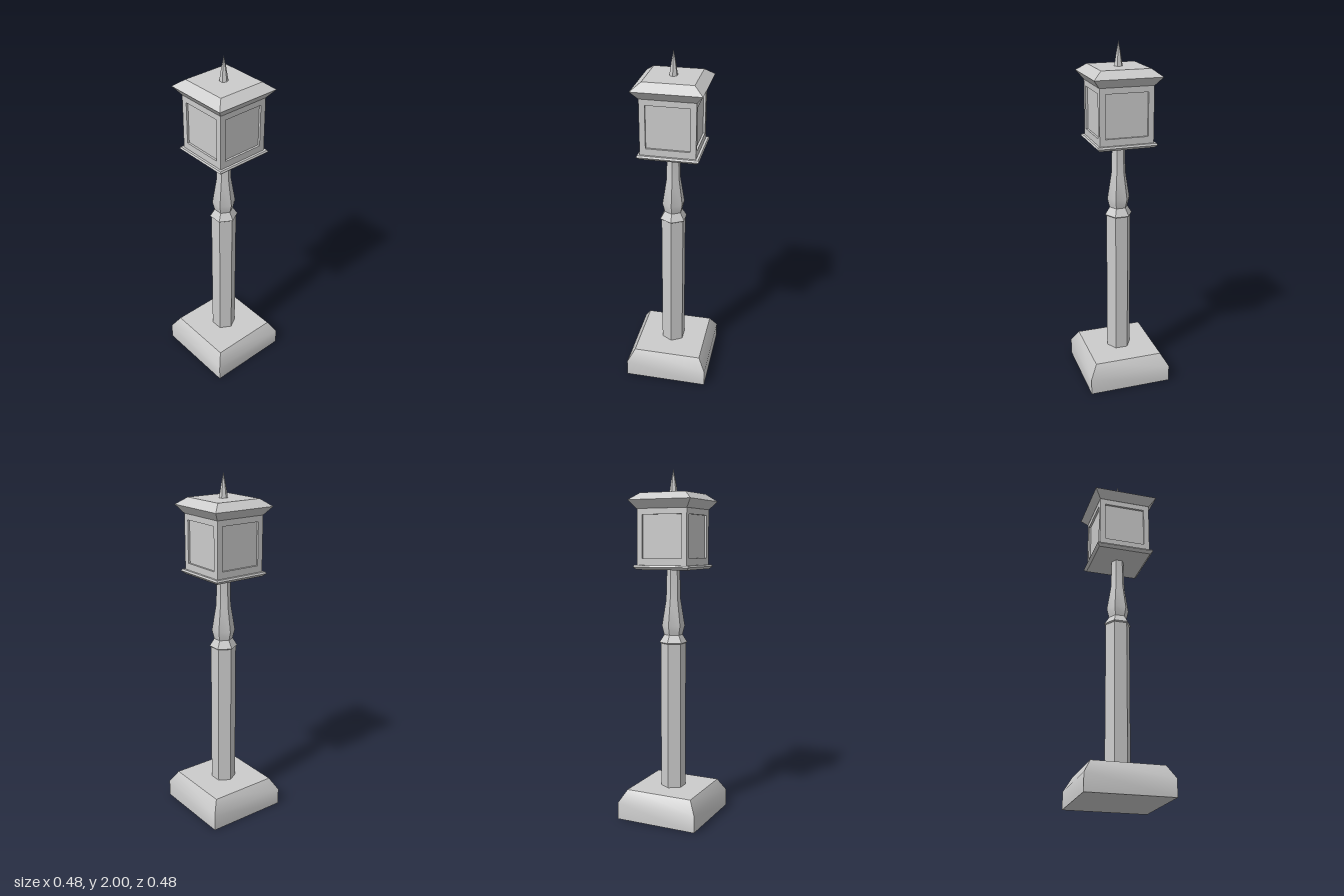
import * as THREE from 'three';
import { toCreasedNormals } from 'three/addons/utils/BufferGeometryUtils.js';

const material = new THREE.MeshStandardMaterial({ color: 0xcccccc });

function addMesh(group, name, geometry) {
  const mesh = new THREE.Mesh(geometry, material);
  mesh.name = name;
  group.add(mesh);
  return mesh;
}

// Stacked polygon rings from [radius, y] pairs; gentle bends stay smooth, corners sharp.
function prism(profile, sides, turn = 0) {
  const points = profile.map(([r, y]) => new THREE.Vector2(r, y));
  const lathe = new THREE.LatheGeometry(points, sides, turn);
  lathe.scale(100, 100, 100); // keeps small details distinct while creasing
  return toCreasedNormals(lathe, 0.6).scale(0.01, 0.01, 0.01);
}

// Square version: the first number of each pair is half the side length.
const square = (profile) =>
  prism(profile.map(([half, y]) => [half * Math.SQRT2, y]), 4, Math.PI / 4);

export function createModel() {
  const model = new THREE.Group();
  model.name = 'lampPost';

  // Plinth with a bevelled top
  addMesh(model, 'base', square([[0, 0], [0.242, 0], [0.242, 0.097], [0.2, 0.17], [0, 0.17]]));

  // Six-sided shaft, collar and turned neck
  addMesh(model, 'post', prism([
    [0.072, 0.165], [0.072, 1.018], [0.08, 1.024], [0.053, 1.068],
    [0.066, 1.12], [0.042, 1.27], [0.037, 1.45],
  ], 6));

  // Lantern: tray, recessed panes, four frames, roof and spike
  const lantern = new THREE.Group();
  lantern.name = 'lantern';
  model.add(lantern);

  addMesh(lantern, 'tray', square([
    [0, 1.442], [0.155, 1.442], [0.17, 1.457], [0.165, 1.467], [0, 1.467],
  ]));

  const half = 0.152, inset = 0.14, bottom = 1.465, top = 1.78;
  const panes = addMesh(lantern, 'panes', new THREE.BoxGeometry(inset * 2, top - bottom, inset * 2));
  panes.position.y = (bottom + top) / 2;

  // Each frame fills one corner, so the four turn around without overlapping
  const outline = new THREE.Shape([
    new THREE.Vector2(-inset, bottom), new THREE.Vector2(half, bottom),
    new THREE.Vector2(half, top), new THREE.Vector2(-inset, top),
  ]);
  outline.holes.push(new THREE.Path([
    new THREE.Vector2(-0.12, 1.505), new THREE.Vector2(-0.12, 1.745),
    new THREE.Vector2(0.12, 1.745), new THREE.Vector2(0.12, 1.505),
  ]));
  const frameGeometry = new THREE.ExtrudeGeometry(outline, { depth: half - inset, bevelEnabled: false });
  frameGeometry.translate(0, 0, inset);
  for (let i = 0; i < 4; i++) {
    addMesh(lantern, 'frame' + (i + 1), frameGeometry).rotation.y = i * Math.PI / 2;
  }

  addMesh(lantern, 'roof', square([
    [0, 1.778], [0.153, 1.778], [0.19, 1.825], [0.138, 1.865], [0, 1.865],
  ]));
  addMesh(lantern, 'spike', prism([[0.024, 1.863], [0.014, 1.93], [0, 2]], 6));

  return model;
}
